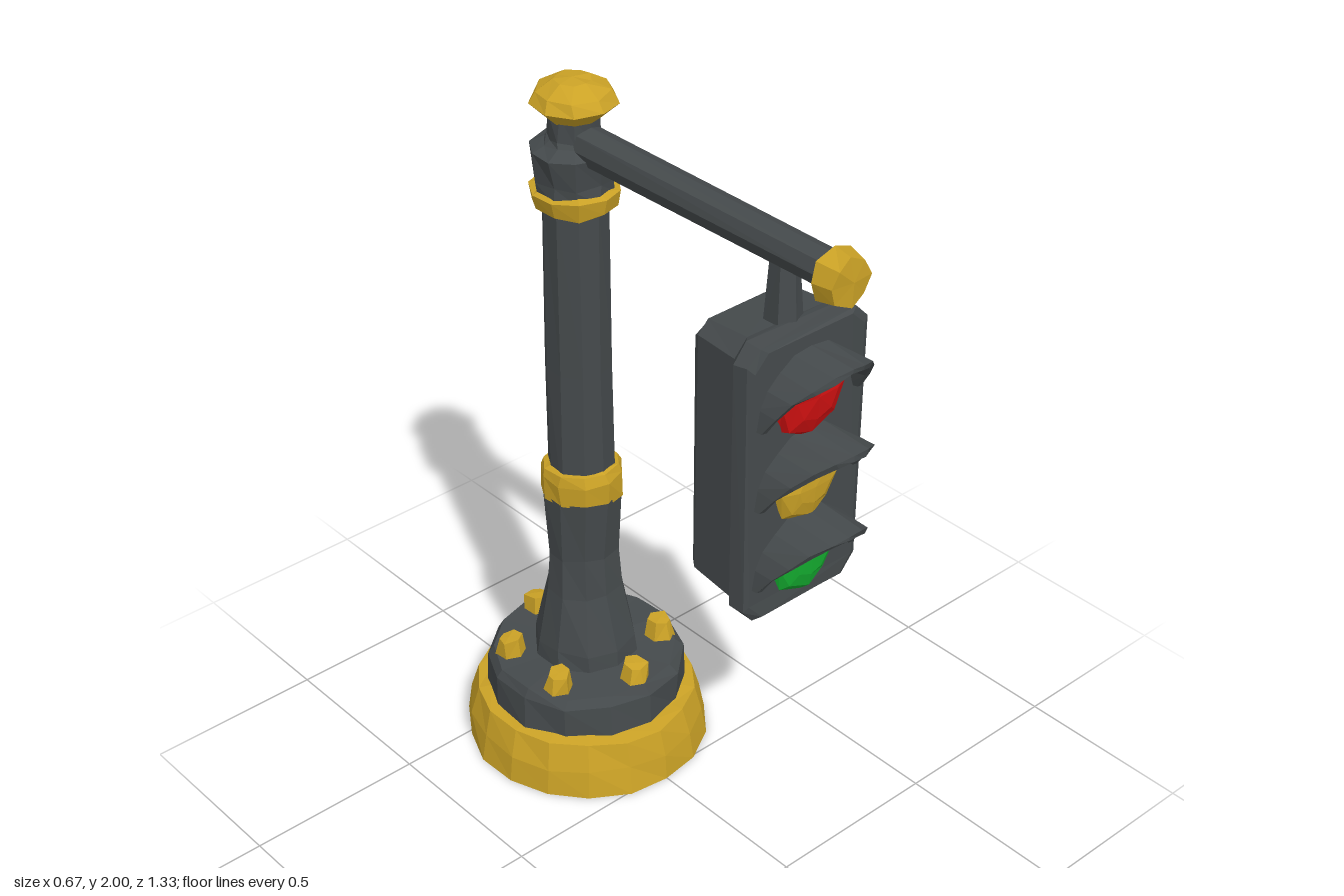
import * as THREE from 'three';

const mat = (name, color) => {
  const m = new THREE.MeshStandardMaterial({ color });
  m.name = name;
  return m;
};

// Hand-hewn facets: nudge each vertex by a hash of its position, then split faces.
function facet(geo, amount = 0.005) {
  const p = geo.attributes.position;
  const hash = (x, y, z, k) => {
    const r = (v) => Math.round(v * 1000);
    const s = Math.sin(r(x) * 12.9898 + r(y) * 78.233 + r(z) * 37.719 + k * 4.1) * 43758.5453;
    return (s - Math.floor(s)) * 2 - 1;
  };
  for (let i = 0; i < p.count; i++) {
    const x = p.getX(i), y = p.getY(i), z = p.getZ(i);
    const n = [1, 2, 3].map((k) => hash(x, y, z, k) * amount);
    p.setXYZ(i, x + n[0], Math.abs(y) < 1e-4 ? y : y + n[1], z + n[2]);
  }
  const flat = geo.index ? geo.toNonIndexed() : geo;
  flat.computeVertexNormals();
  return flat;
}

// Solid skin over a row of closed cross-sections, capped at both ends.
function loft(rings) {
  const n = rings[0].length, index = [];
  const last = (rings.length - 1) * n;
  for (let s = 0; s < rings.length - 1; s++) {
    for (let i = 0; i < n; i++) {
      const a = s * n + i, b = s * n + (i + 1) % n;
      index.push(a, b, b + n, a, b + n, a + n);
    }
  }
  for (let i = 1; i < n - 1; i++) {
    index.push(0, i + 1, i, last, last + i, last + i + 1);
  }
  const geo = new THREE.BufferGeometry();
  geo.setAttribute('position', new THREE.Float32BufferAttribute(rings.flat(2), 3));
  geo.setIndex(index);
  return geo;
}

const lathe = (pts, sides) =>
  new THREE.LatheGeometry(pts.map(([r, y]) => new THREE.Vector2(r, y)), sides);

export function createModel() {
  const iron = mat('dark iron', 0x454a4c);
  const brass = mat('brass yellow', 0xcba226);
  const red = mat('red lens', 0xcc1010);
  const green = mat('green lens', 0x14ae30);

  const model = new THREE.Group();
  model.name = 'streetSignal';
  const add = (parent, name, geo, material, wobble) => {
    const mesh = new THREE.Mesh(facet(geo, wobble), material);
    mesh.name = name;
    parent.add(mesh);
    return mesh;
  };

  // Post, standing behind the centre
  const post = new THREE.Group();
  post.name = 'post';
  post.position.z = -0.32;
  model.add(post);

  const base = add(post, 'base',
    lathe([[0, 0], [0.335, 0], [0.325, 0.08], [0.305, 0.158], [0.265, 0.165], [0, 0.165]], 18), brass, 0.004);
  base.scale.z = 1.035;
  add(post, 'plinth',
    lathe([[0, 0.15], [0.278, 0.15], [0.275, 0.255], [0.255, 0.28], [0, 0.28]], 14), iron);
  add(post, 'flaredFoot',
    lathe([[0.145, 0.27], [0.14, 0.33], [0.105, 0.5], [0.095, 0.62], [0.105, 0.81]], 10), iron);
  add(post, 'shaft', lathe([[0.09, 0.8], [0.088, 1.2], [0.088, 1.68]], 10), iron, 0.003);
  add(post, 'lowerRing',
    lathe([[0.08, 0.795], [0.108, 0.8], [0.112, 0.87], [0.1, 0.895], [0.08, 0.9]], 10), brass);
  add(post, 'upperRing',
    lathe([[0.085, 1.66], [0.107, 1.665], [0.118, 1.71], [0.08, 1.72]], 10), brass);
  add(post, 'collar',
    lathe([[0.1, 1.7], [0.1, 1.74], [0.112, 1.82], [0.08, 1.835], [0.068, 1.85], [0.068, 1.92]], 10), iron);
  add(post, 'finial',
    lathe([[0, 1.9], [0.07, 1.9], [0.112, 1.94], [0.095, 1.97], [0.05, 1.995], [0, 1.998]], 9), brass, 0.004);

  // Ring of bolts on the plinth
  for (let i = 0; i < 6; i++) {
    const a = (i * Math.PI) / 3;
    const bolt = add(post, 'bolt', new THREE.CylinderGeometry(0.032, 0.041, 0.06, 6), brass);
    bolt.position.set(Math.sin(a) * 0.212, 0.3, Math.cos(a) * 0.212);
    bolt.rotation.y = a;
  }

  // Arm reaching forward, its end cap and the hanger
  const arm = add(model, 'arm',
    new THREE.CylinderGeometry(0.046, 0.052, 0.9, 8, 1).rotateX(Math.PI / 2), iron, 0.003);
  arm.position.set(0, 1.838, 0.14);
  const cap = add(model, 'armCap',
    new THREE.CylinderGeometry(0.062, 0.072, 0.06, 8).rotateX(Math.PI / 2), brass);
  cap.position.set(0, 1.833, 0.597);
  const hanger = add(model, 'hanger', new THREE.CylinderGeometry(0.036, 0.05, 0.17, 6), iron);
  hanger.position.set(0, 1.73, 0.42);

  // Signal housing: chamfered box with a wider front flange
  const head = new THREE.Group();
  head.name = 'signalHead';
  model.add(head);
  const frame = (z, w, h, c) => [
    [w, c - h], [w, h - c], [w - c, h], [c - w, h], [-w, h - c], [-w, c - h], [c - w, -h], [w - c, -h],
  ].map(([x, y]) => [x, y + 1.285, z]);
  add(head, 'housing', loft([
    frame(0.286, 0.148, 0.35, 0.03),
    frame(0.3, 0.16, 0.365, 0.035),
    frame(0.435, 0.17, 0.375, 0.04),
    frame(0.46, 0.193, 0.38, 0.04),
    frame(0.5, 0.19, 0.382, 0.04),
    frame(0.512, 0.172, 0.37, 0.04),
  ]), iron, 0.004);

  // Half-round visor, deepest at the top and swept back down its sides
  const visor = (depth) => {
    const rings = [];
    for (let i = 0; i <= 10; i++) {
      const a = (i / 10) * Math.PI, c = Math.cos(a), s = Math.sin(a);
      const z = 0.015 + depth * Math.pow(Math.max(s, 0), 1.2);
      const inner = 0.138, outer = 0.166;
      rings.push([
        [c * inner, s * inner, -0.01], [c * (inner + 0.01), s * (inner + 0.01), z],
        [c * (outer - 0.004), s * (outer - 0.004), z], [c * outer, s * outer, -0.01],
      ]);
    }
    return loft(rings);
  };

  // Lenses, each with its visor: name, colour, lens height, radius, visor height, depth
  [
    ['stop', red, 1.5, 0.118, 1.455, 0.12],
    ['caution', brass, 1.25, 0.102, 1.235, 0.14],
    ['go', green, 1.04, 0.102, 1.005, 0.135],
  ].forEach(([name, material, y, r, visorY, depth]) => {
    const dome = new THREE.SphereGeometry(1, 8, 3, 0, Math.PI * 2, 0, Math.PI / 2)
      .rotateX(Math.PI / 2).scale(r, r, 0.04);
    add(head, name + 'Lens', dome, material).position.set(0, y, 0.508);
    add(head, name + 'Visor', visor(depth), iron, 0.004).position.set(0, visorY, 0.51);
  });

  return model;
}
